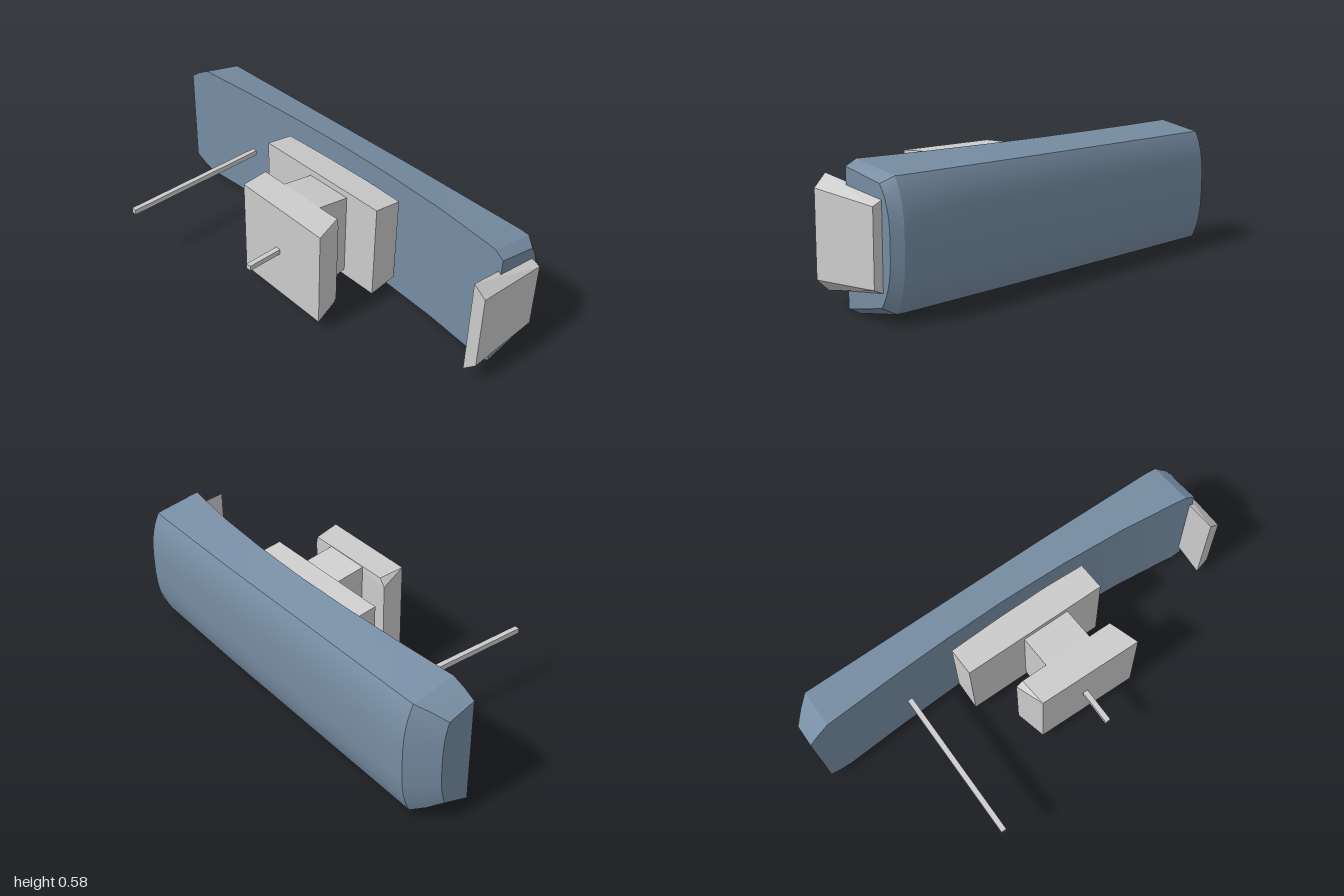
import * as THREE from 'three';
import { toCreasedNormals } from 'three/addons/utils/BufferGeometryUtils.js';
import { ConvexGeometry } from 'three/addons/geometries/ConvexGeometry.js';

const MID = 0.29; // height of the horizontal symmetry plane
const grey = new THREE.MeshStandardMaterial({ color: 0xcccccc, flatShading: true });
const blue = new THREE.MeshStandardMaterial({ color: 0x778da3 });

// Shell stations along x: [x, front z, crease z, back z, half height]
const STATIONS = [
  [-1, -0.23, -0.345, -0.37, 0.23],
  [-0.95, -0.236, -0.39, -0.423, 0.265],
  [-0.9, -0.242, -0.43, -0.473, 0.29],
  [-0.6, -0.259, -0.43, -0.473, 0.29],
  [-0.3, -0.27, -0.43, -0.473, 0.29],
  [0, -0.273, -0.43, -0.473, 0.29],
  [0.3, -0.264, -0.43, -0.473, 0.29],
  [0.6, -0.244, -0.426, -0.473, 0.29],
  [0.87, -0.212, -0.422, -0.473, 0.29],
  [0.915, -0.205, -0.417, -0.466, 0.29],
  [0.96, -0.198, -0.388, -0.44, 0.265],
];

// Closed section: straight front, sloping top and bottom, bulged back
function shellSection([x, front, crease, back, half]) {
  const pts = [[x, MID + half, front]];
  const n = 14;
  for (let k = 0; k <= n; k++) {
    const s = Math.cos((k / n) * Math.PI);
    pts.push([x, MID + (half - 0.04) * s, back + (crease - back) * Math.abs(s) ** 3]);
  }
  pts.push([x, MID - half, front]);
  return pts;
}

function shellGeometry() {
  const rings = STATIONS.map(shellSection);
  const n = rings[0].length;
  const index = [];
  for (let i = 0; i < rings.length - 1; i++) {
    for (let j = 0; j < n; j++) {
      const k = (j + 1) % n;
      const a = i * n + j, b = a + n, c = i * n + k, d = c + n;
      index.push(a, b, c, b, d, c);
    }
  }
  const last = (rings.length - 1) * n;
  for (let j = 1; j < n - 1; j++) {
    index.push(0, j, j + 1);
    index.push(last, last + j + 1, last + j);
  }
  const g = new THREE.BufferGeometry();
  g.setAttribute('position', new THREE.Float32BufferAttribute(rings.flat(2), 3));
  g.setIndex(index);
  return toCreasedNormals(g, 0.35);
}

// Convex block from [x, half height, z] corners mirrored above and below MID
function mirroredBlock(corners) {
  const pts = corners.flatMap(([x, h, z]) => [
    new THREE.Vector3(x, MID + h, z),
    new THREE.Vector3(x, MID - h, z),
  ]);
  return new ConvexGeometry(pts);
}

export function createModel() {
  const group = new THREE.Group();
  const add = (name, geometry, material = grey) => {
    const mesh = new THREE.Mesh(geometry, material);
    mesh.name = name;
    group.add(mesh);
    return mesh;
  };

  add('housingShell', shellGeometry(), blue);

  // Chamfered cap on the left end
  add('endCap', mirroredBlock([
    [0.945, 0.225, -0.055], [1, 0.174, -0.06],
    [0.945, 0.175, -0.398], [1, 0.15, -0.398],
  ]));

  // Plate behind the neck, gently bowed and tapering to the back
  add('rearPlate', mirroredBlock([
    [-0.3, 0.226, -0.112], [0.38, 0.226, -0.108],
    [-0.3, 0.206, -0.245], [-0.05, 0.205, -0.252],
    [0.2, 0.205, -0.252], [0.38, 0.206, -0.243],
  ]));

  // Neck joining the two plates
  add('neck', mirroredBlock([
    [-0.02, 0.224, 0.05], [0.205, 0.224, 0.05],
    [-0.02, 0.195, -0.115], [0.205, 0.195, -0.115],
  ]));

  // Skewed front plate with trimmed back corners
  add('frontPlate', mirroredBlock([
    [-0.13, 0.226, 0.175], [0.355, 0.226, 0.188],
    [-0.14, 0.226, 0.045], [0.31, 0.226, 0.05],
    [-0.17, 0.194, 0.042], [0.32, 0.194, 0.052],
  ]));

  // Slim square rods pointing forwards: [name, x, back z, front z]
  for (const [name, x, z0, z1] of [
    ['longRod', -0.545, -0.235, 0.473],
    ['shortRod', 0.093, 0.175, 0.346],
  ]) {
    const rod = add(name, new THREE.BoxGeometry(0.024, 0.024, z1 - z0));
    rod.position.set(x, 0.292, (z0 + z1) / 2);
  }

  return group;
}
